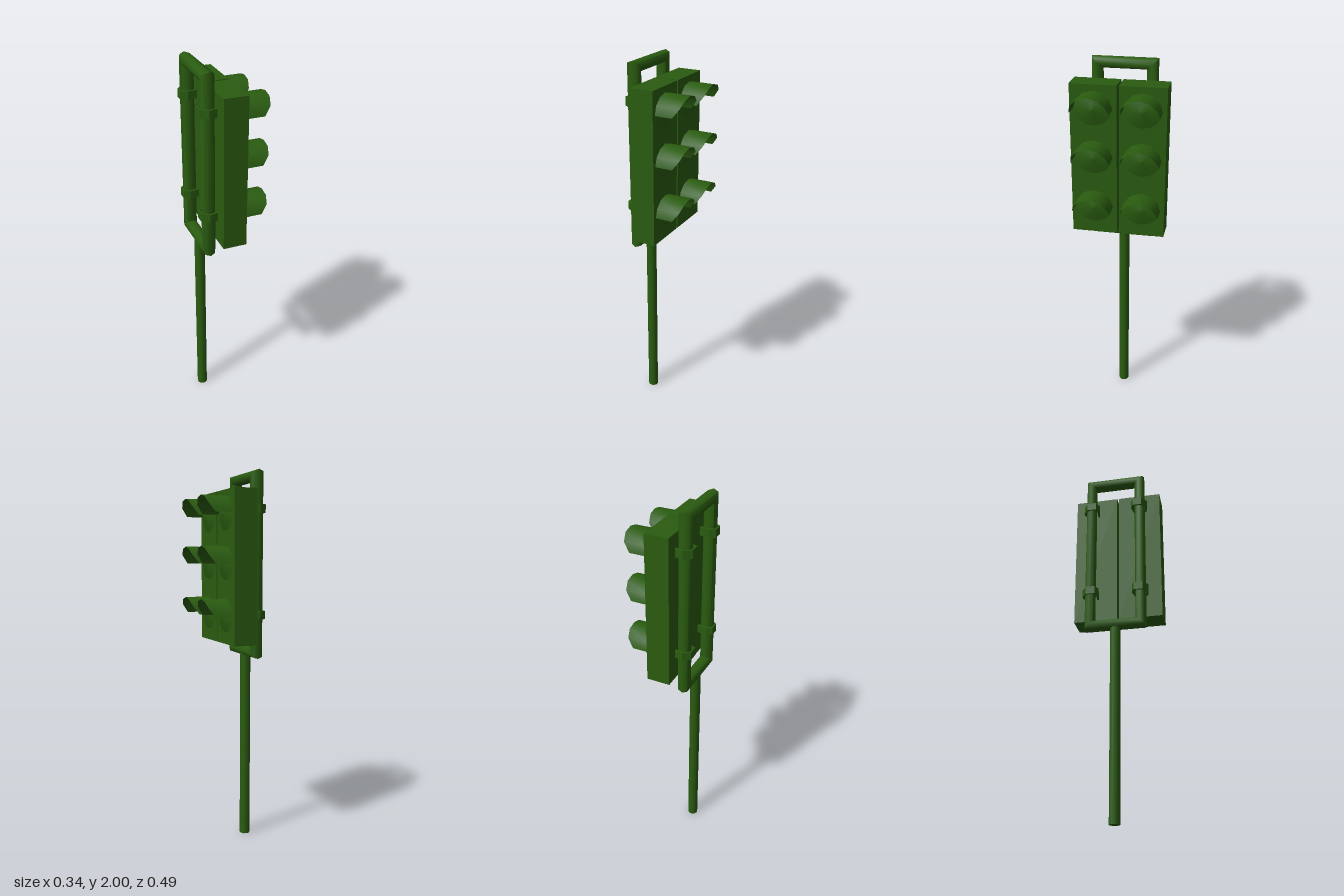
import * as THREE from 'three';
import { toCreasedNormals } from 'three/addons/utils/BufferGeometryUtils.js';

const paint = new THREE.MeshStandardMaterial({ color: 0x2a5c10 });
const thinPaint = new THREE.MeshStandardMaterial({ color: 0x2a5c10, side: THREE.DoubleSide });
const POLE_X = -0.128, POLE_Z = -0.007;

function add(parent, name, geometry, x = 0, y = 0, z = 0, material = paint) {
  const mesh = new THREE.Mesh(geometry, material);
  mesh.name = name;
  mesh.position.set(x, y, z);
  parent.add(mesh);
  return mesh;
}

// Indexed surface from a grid of points: point(i, j) gives [x, y, z]
function gridSurface(rows, cols, point) {
  const positions = [], index = [];
  for (let i = 0; i <= rows; i++) {
    for (let j = 0; j <= cols; j++) positions.push(...point(i, j));
  }
  for (let i = 0; i < rows; i++) {
    for (let j = 0; j < cols; j++) {
      const a = i * (cols + 1) + j, b = a + cols + 1;
      index.push(a, b, a + 1, b, b + 1, a + 1);
    }
  }
  const geometry = new THREE.BufferGeometry();
  geometry.setAttribute('position', new THREE.Float32BufferAttribute(positions, 3));
  geometry.setIndex(index);
  geometry.computeVertexNormals();
  return geometry;
}

// Rectangular tube loop with mitred corners
function frameGeometry() {
  const corners = [[1, 1], [-1, 1], [-1, -1], [1, -1], [1, 1]];
  const loop = gridSurface(4, 8, (i, j) => {
    const a = (j / 8) * Math.PI * 2;
    const out = 0.03 * Math.sin(a);
    const [sz, sy] = corners[i];
    return [0.037 * Math.cos(a), sy * (0.46 + out), sz * (0.14 + out)];
  });
  return toCreasedNormals(loop, 1);
}

// Half-round hood whose front edge slants back toward the sides
function visorGeometry() {
  const reach = [0.092, 0.125, 0.135, 0.135, 0.135, 0.125, 0.092];
  return gridSurface(1, 6, (i, j) => {
    const a = (j / 6) * Math.PI;
    return [i * reach[j], 0.09 * Math.sin(a), 0.099 * Math.cos(a)];
  });
}

// Shallow bulging lens facing +x
function lensGeometry() {
  const profile = [[0.098, 0], [0.05, 0.013], [0, 0.022]].map(p => new THREE.Vector2(...p));
  return new THREE.LatheGeometry(profile, 16).rotateZ(-Math.PI / 2).scale(1, 0.9, 1);
}

// Open strap round one upright, ending at the back of the signal box
function strapGeometry(side) {
  const outline = [
    [-0.088, 0.036], [-0.133, 0.046], [-0.172, 0.019], [-0.172, -0.03], [-0.14, -0.045], [-0.088, -0.036],
    [-0.088, -0.026], [-0.138, -0.034], [-0.163, -0.024], [-0.163, 0.014], [-0.132, 0.035], [-0.088, 0.026],
  ];
  const shape = new THREE.Shape(outline.map(([x, s]) => new THREE.Vector2(x, -side * s)));
  const geometry = new THREE.ExtrudeGeometry(shape, { depth: 0.044, bevelEnabled: false });
  return geometry.translate(0, 0, -0.022).rotateX(-Math.PI / 2);
}

export function createModel() {
  const model = new THREE.Group();
  model.name = 'trafficLight';

  // Support
  add(model, 'pole', new THREE.CylinderGeometry(0.028, 0.028, 1.04, 10), POLE_X, 0.52, POLE_Z);
  add(model, 'frame', frameGeometry(), POLE_X, 1.51, POLE_Z, thinPaint);

  // Two signal heads, each with three lamps and two straps
  const visor = visorGeometry(), lens = lensGeometry();
  for (const side of [1, -1]) {
    const head = new THREE.Group();
    head.name = side > 0 ? 'leftSignal' : 'rightSignal';
    model.add(head);
    add(head, 'housing', new THREE.BoxGeometry(0.125, 0.795, 0.239), -0.0265, 1.4995, side * 0.125 - 0.001);
    for (const y of [1.776, 1.522, 1.25]) {
      add(head, 'visor', visor, 0.035, y, side * 0.125, thinPaint);
      add(head, 'lens', lens, 0.0355, y, side * 0.125, thinPaint);
    }
    for (const y of [1.803, 1.252]) {
      add(head, 'strap', strapGeometry(side), 0, y, POLE_Z + side * 0.138);
    }
  }
  return model;
}
